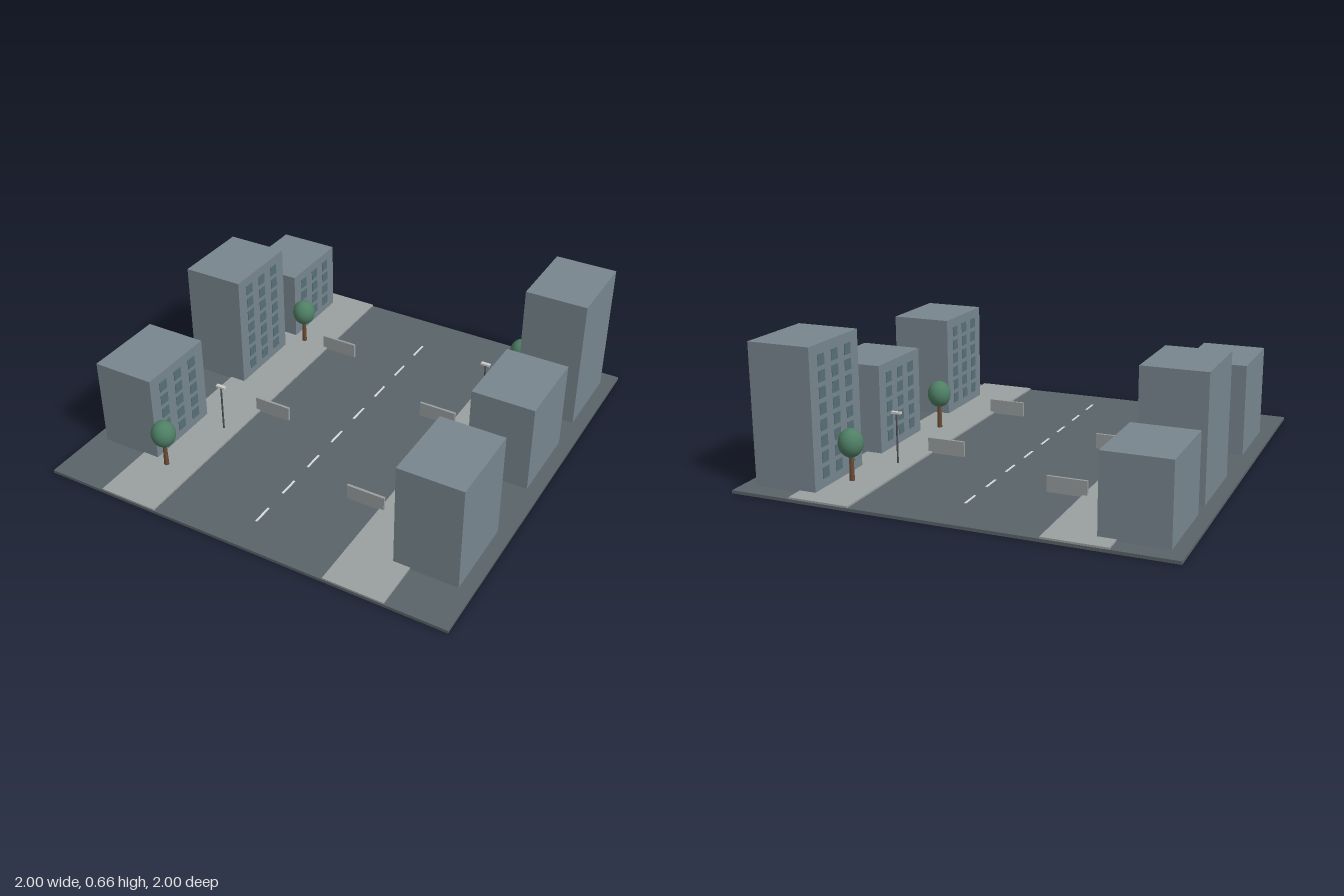
import * as THREE from 'three';

const UNIT = 1 / 14; // layout is in blocks, 28 blocks across
const GROUND = 0.2;

const material = (color) => new THREE.MeshStandardMaterial({ color });
const mats = {
  asphalt: material(0x596369), pavement: material(0x9a9f9f), wall: material(0x78868e),
  glass: material(0x587078), paint: material(0xd5dbdc), barrier: material(0x989d9d),
  pole: material(0x4a5156), lamp: material(0xd8dcdc), bark: material(0x6b4c36), leaf: material(0x4f7f65),
};

function add(parent, name, geometry, mat, x, y, z) {
  const mesh = new THREE.Mesh(geometry, mat);
  mesh.name = name;
  mesh.position.set(x, y, z);
  parent.add(mesh);
  return mesh;
}

function group(parent, name, x, y, z) {
  const g = new THREE.Group();
  g.name = name;
  g.position.set(x, y, z);
  parent.add(g);
  return g;
}

const box = (w, h, d) => new THREE.BoxGeometry(w, h, d);

// Plain block with a grid of windows on the wall facing the road
function addBuilding(parent, side, z, height) {
  const g = group(parent, 'building', side * 11, GROUND, z);
  const total = height + 0.04;
  add(g, 'buildingWalls', box(4.2, total, 5.5), mats.wall, 0, total / 2, 0);
  const pane = box(0.08, 0.7, 0.7);
  for (let floor = 1; floor < height; floor++) {
    for (let column = -1; column <= 1; column++) {
      add(g, 'window', pane, mats.glass, -side * 2.1, floor + 0.05, column * 1.5);
    }
  }
}

function addTree(parent, side, z) {
  const g = group(parent, 'tree', side * 8, GROUND, z);
  add(g, 'trunk', new THREE.CylinderGeometry(0.13, 0.17, 1.8, 10), mats.bark, 0, 0.9, 0);
  const crown = add(g, 'crown', new THREE.SphereGeometry(0.8, 24, 16), mats.leaf, 0, 2.55, 0);
  crown.scale.y = 1.15;
}

function addStreetLamp(parent, x, z) {
  const g = group(parent, 'streetLamp', x, GROUND, z);
  add(g, 'lampPole', new THREE.CylinderGeometry(0.06, 0.06, 3.4, 8), mats.pole, 0, 1.7, 0);
  add(g, 'lampHead', box(0.64, 0.14, 0.25), mats.lamp, 0, 3.47, 0);
}

export function createModel() {
  const model = new THREE.Group();
  model.name = 'streetBlock';
  const street = group(model, 'street', 0, 0, 0);
  street.scale.setScalar(UNIT);

  // Ground slab with a raised pavement along each side of the road
  add(street, 'ground', box(28, GROUND, 28), mats.asphalt, 0, GROUND / 2, 0);
  for (const side of [-1, 1]) {
    add(street, 'pavement', box(4, 0.12, 28), mats.pavement, side * 8, GROUND + 0.06, 0);
  }

  // Dashed centre line
  for (let i = 0; i < 8; i++) {
    add(street, 'laneDash', box(0.14, 0.03, 1.4), mats.paint, 0, GROUND + 0.015, -10 + i * 3);
  }

  // Side, z and height of each building
  const buildings = [[-1, -10, 5], [-1, -3, 8], [-1, 7, 6], [1, -10, 9], [1, -2, 6], [1, 8, 7]];
  for (const [side, z, height] of buildings) addBuilding(street, side, z, height);

  for (const [side, z] of [[-1, -7], [-1, 10], [1, -10], [1, 2]]) addTree(street, side, z);

  // Low barriers reaching from the kerb into the road
  for (const [side, z] of [[-1, -7], [-1, 2], [1, -3], [1, 7]]) {
    add(street, 'barrier', box(2.6, 1.03, 0.18), mats.barrier, side * 5, GROUND + 0.515, z);
  }

  addStreetLamp(street, -7, 5);
  addStreetLamp(street, 7, -6);
  return model;
}
